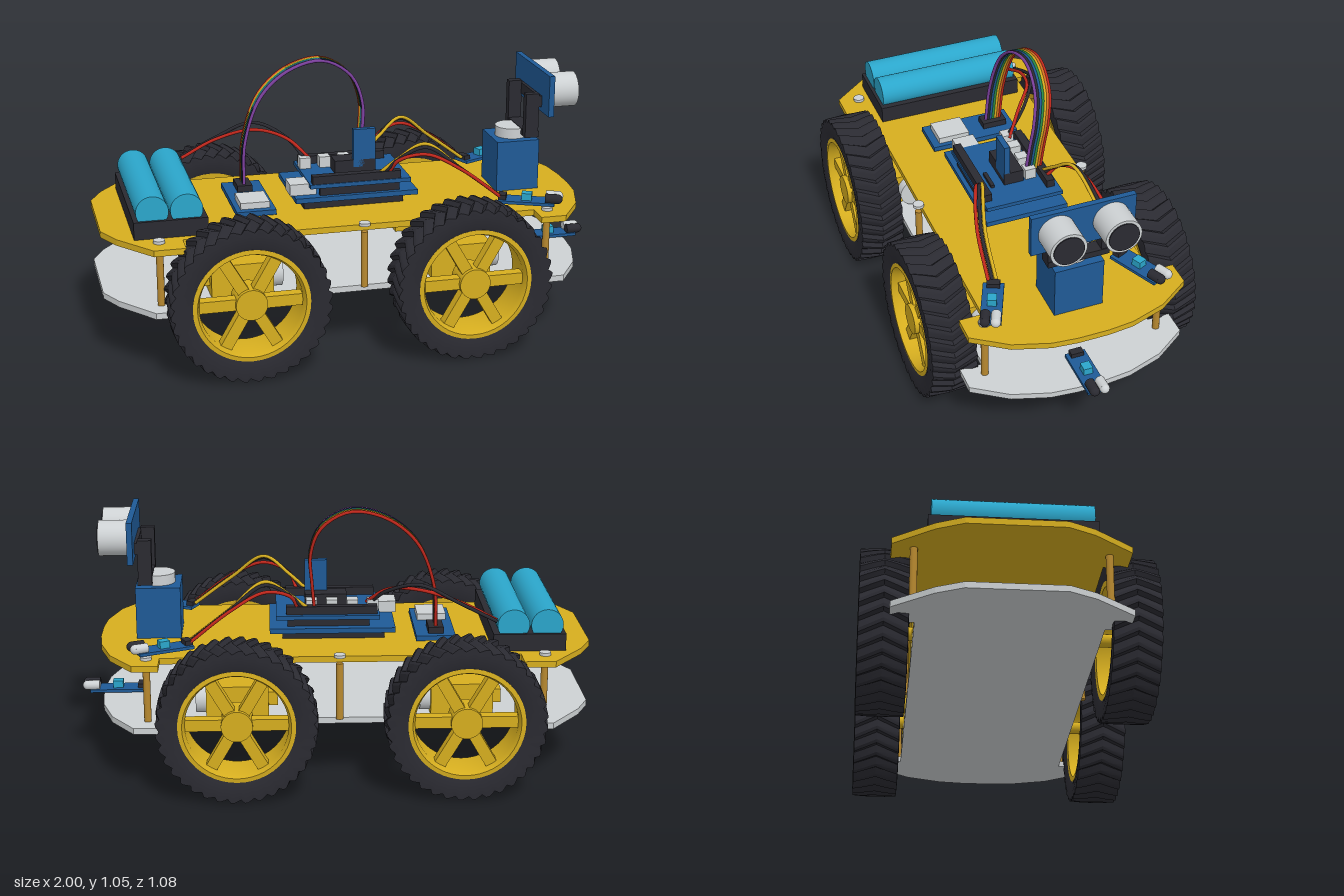
import * as THREE from 'three';
import { toCreasedNormals } from 'three/addons/utils/BufferGeometryUtils.js';

const mat = (name, color) => new THREE.MeshStandardMaterial({ name, color });
const M = {
  yellow: mat('yellow', 0xd6ae1f), grey: mat('lightGrey', 0xcdd1d3), dark: mat('darkRubber', 0x2a2a31),
  blue: mat('boardBlue', 0x1f5a96), cyan: mat('cyan', 0x2ba6cb), brass: mat('brass', 0xb8892f),
  red: mat('wireRed', 0xc0271c), green: mat('wireGreen', 0x2a8a45), purple: mat('wirePurple', 0x7a3f9c),
  orange: mat('wireOrange', 0xd9701f),
};

function add(parent, name, geo, material, x = 0, y = 0, z = 0) {
  const mesh = new THREE.Mesh(geo, material);
  mesh.name = name;
  mesh.position.set(x, y, z);
  parent.add(mesh);
  return mesh;
}

// box given by its limits on each axis
function box(parent, name, m, x0, x1, y0, y1, z0, z1) {
  return add(parent, name, new THREE.BoxGeometry(x1 - x0, y1 - y0, z1 - z0), m,
    (x0 + x1) / 2, (y0 + y1) / 2, (z0 + z1) / 2);
}

// cylinder along a chosen axis
function cyl(parent, name, m, r, len, axis, x, y, z, seg = 32) {
  const g = new THREE.CylinderGeometry(r, r, len, seg);
  if (axis === 'x') g.rotateZ(-Math.PI / 2);
  if (axis === 'z') g.rotateX(Math.PI / 2);
  return add(parent, name, g, m, x, y, z);
}

function wire(parent, name, m, pts, r = 0.007) {
  const curve = new THREE.CatmullRomCurve3(pts.map(p => new THREE.Vector3(...p)));
  return add(parent, name, new THREE.TubeGeometry(curve, 40, r, 8), m);
}

// chassis plate with wheel notches
function deckGeometry() {
  const half = [[-1, 0.18], [-0.95, 0.28], [-0.83, 0.43], [-0.71, 0.43], [-0.71, 0.34],
    [0.67, 0.34], [0.67, 0.43], [0.77, 0.43], [0.86, 0.3], [0.905, 0.16], [0.915, 0.06]];
  const pts = [...half, ...half.map(([x, z]) => [x, -z]).reverse()];
  const shape = new THREE.Shape(pts.map(p => new THREE.Vector2(...p)));
  return new THREE.ExtrudeGeometry(shape, { depth: 0.024, bevelEnabled: false }).rotateX(-Math.PI / 2);
}

const lathe = (pts, seg) => new THREE.LatheGeometry(pts.map(p => new THREE.Vector2(...p)), seg);

// tyre: saw-toothed tread columns twisted into chevrons
function tyreGeometry() {
  const pts = [[0.218, -0.08], [0.235, -0.086], [0.275, -0.09], [0.29, -0.088], [0.292, -0.045], [0.293, 0],
    [0.292, 0.045], [0.29, 0.088], [0.275, 0.09], [0.235, 0.086], [0.218, 0.08], [0.218, -0.08]];
  const g = lathe(pts, 144), p = g.attributes.position;
  const lift = [0, 0.007, 0.014, 0.015];
  for (let i = 0; i < p.count; i++) {
    const column = Math.floor(i / pts.length), [r0, y] = pts[i % pts.length];
    const a = column / 144 * Math.PI * 2 + Math.abs(y) * 1.5;
    const r = r0 > 0.28 ? r0 + lift[column % 4] : r0;
    p.setXYZ(i, r * Math.sin(a), y, r * Math.cos(a));
  }
  return toCreasedNormals(g.rotateX(Math.PI / 2), 0.45);
}

function makeWheel(tyre, x, side) {
  const wheel = new THREE.Group();
  wheel.name = 'wheel';
  wheel.position.set(x, 0.31, side * 0.45);
  add(wheel, 'tyre', tyre, M.dark);
  const rim = new THREE.Group();
  rim.name = 'rim';
  if (side < 0) rim.rotation.y = Math.PI;
  wheel.add(rim);
  const barrel = lathe([[0.2, -0.08], [0.222, -0.082], [0.222, 0.082], [0.205, 0.084], [0.195, 0.06], [0.2, -0.08]], 48);
  add(rim, 'rimBarrel', toCreasedNormals(barrel.rotateX(Math.PI / 2), 0.5), M.yellow);
  cyl(rim, 'hub', M.yellow, 0.06, 0.11, 'z', 0, 0, 0.02);
  cyl(rim, 'axle', M.yellow, 0.025, 0.14, 'z', 0, 0, -0.07, 16);
  for (let i = 0; i < 6; i++) {
    const spoke = new THREE.BoxGeometry(0.16, 0.045, 0.045).translate(0.12, 0, 0.035);
    add(rim, 'spoke', spoke.rotateZ(i * Math.PI / 3), M.yellow);
  }
  return wheel;
}

// small infrared sensor, pointing along its own +x
function makeSensor(x, y, z, turn) {
  const s = new THREE.Group();
  s.name = 'infraredSensor';
  s.position.set(x, y, z);
  s.rotation.y = turn;
  box(s, 'sensorBoard', M.blue, -0.11, 0.11, 0, 0.012, -0.04, 0.04);
  box(s, 'sensorTrimmer', M.cyan, -0.02, 0.02, 0.012, 0.04, -0.018, 0.018);
  box(s, 'sensorPins', M.dark, -0.11, -0.08, 0.012, 0.03, -0.025, 0.025);
  for (const [m, dz] of [[M.dark, 0.02], [M.grey, -0.02]]) {
    cyl(s, 'sensorEye', m, 0.019, 0.05, 'x', 0.098, 0.026, dz, 16);
    add(s, 'sensorEyeTip', new THREE.SphereGeometry(0.019, 16, 10), m, 0.122, 0.026, dz);
  }
  return s;
}

export function createModel() {
  const car = new THREE.Group();
  car.name = 'robotCar';

  // chassis plates
  const deck = deckGeometry();
  add(car, 'upperDeck', deck, M.yellow, 0, 0.498, 0);
  add(car, 'lowerDeck', deck, M.grey, 0, 0.249, 0);

  // wheels, gear motors and standoffs
  const tyre = tyreGeometry();
  for (const side of [-1, 1]) {
    for (const x of [-0.487, 0.377]) {
      car.add(makeWheel(tyre, x, side));
      const z = side * 0.265;
      box(car, 'gearbox', M.yellow, x - 0.12, x + 0.12, 0.275, 0.402, z - 0.075, z + 0.075);
      box(car, 'gearboxLug', M.yellow, x - 0.155, x - 0.12, 0.31, 0.365, z - 0.03, z + 0.03);
      cyl(car, 'motorCan', M.grey, 0.06, 0.04, 'x', x + 0.14, 0.338, z);
    }
    for (const x of [-0.8, -0.015, 0.72]) {
      cyl(car, 'standoff', M.brass, 0.014, 0.226, 'y', x, 0.385, side * 0.35, 12);
      cyl(car, 'screwHead', M.grey, 0.022, 0.012, 'y', x, 0.528, side * 0.35, 16);
    }
  }

  // battery pack
  box(car, 'batteryTray', M.dark, -0.887, -0.607, 0.522, 0.59, -0.305, 0.305);
  for (const x of [-0.815, -0.685]) cyl(car, 'battery', M.cyan, 0.062, 0.585, 'z', x, 0.622, 0);

  // motor driver board
  box(car, 'driverBoard', M.blue, -0.475, -0.32, 0.53, 0.55, -0.19, 0.175);
  box(car, 'driverHeatSink', M.grey, -0.455, -0.34, 0.55, 0.575, 0.015, 0.145);
  box(car, 'driverHeader', M.dark, -0.43, -0.37, 0.55, 0.575, -0.16, -0.06);

  // controller and stacked shield
  box(car, 'controllerBoard', M.blue, -0.24, 0.25, 0.56, 0.58, -0.175, 0.16);
  box(car, 'controllerRiser', M.dark, -0.2, 0.2, 0.522, 0.56, -0.12, 0.12);
  box(car, 'usbSocket', M.grey, -0.255, -0.15, 0.58, 0.625, 0.03, 0.12);
  box(car, 'shieldBoard', M.blue, -0.18, 0.225, 0.612, 0.628, -0.165, 0.15);
  for (const z of [-0.13, 0.13]) {
    box(car, 'stackHeader', M.dark, -0.14, 0.18, 0.58, 0.612, z - 0.012, z + 0.012);
    box(car, 'shieldHeader', M.dark, -0.17, 0.185, 0.628, 0.66, z - 0.016, z + 0.016);
  }
  for (let i = 0; i < 4; i++) {
    const x = -0.155 + i * 0.08;
    box(car, 'terminal', M.grey, x - 0.022, x + 0.022, 0.628, 0.672, -0.1, -0.055);
  }
  box(car, 'moduleSocket', M.dark, -0.055, 0.11, 0.628, 0.68, -0.045, 0.035);
  box(car, 'radioModule', M.blue, 0.02, 0.11, 0.65, 0.805, 0.012, 0.035);
  box(car, 'shieldChip', M.dark, 0.02, 0.11, 0.628, 0.64, 0.075, 0.09);

  // servo turret with bracket
  box(car, 'servoBody', M.blue, 0.597, 0.772, 0.522, 0.727, -0.095, 0.097);
  cyl(car, 'servoHorn', M.grey, 0.065, 0.042, 'y', 0.685, 0.747, 0);
  box(car, 'bracketBar', M.dark, 0.705, 0.76, 0.745, 0.77, -0.12, 0.12);
  for (const z of [-0.104, 0.104]) box(car, 'bracketArm', M.dark, 0.703, 0.757, 0.745, 0.925, z - 0.016, z + 0.016);
  box(car, 'bracketMount', M.dark, 0.755, 0.775, 0.87, 0.915, -0.12, 0.12);

  // ultrasonic range finder
  box(car, 'rangeBoard', M.blue, 0.768, 0.79, 0.85, 1.015, -0.2, 0.2);
  for (const z of [-0.104, 0.104]) {
    cyl(car, 'rangeCan', M.grey, 0.069, 0.112, 'x', 0.846, 0.934, z, 40);
    cyl(car, 'rangeMesh', M.dark, 0.058, 0.006, 'x', 0.903, 0.934, z, 40);
  }

  // infrared sensors: low front, and both front corners
  car.add(makeSensor(0.86, 0.277, 0, 0));
  car.add(makeSensor(0.655, 0.54, -0.295, 0.42));
  car.add(makeSensor(0.655, 0.54, 0.295, -0.42));

  // battery leads
  [[M.dark, 0.775, 0], [M.red, 0.75, 0.02]].forEach(([m, top, d]) => wire(car, 'batteryLead', m, [
    [-0.62, 0.64, -0.295 + d], [-0.48, 0.71, -0.29 + d], [-0.33, top, -0.255 + d],
    [-0.21, 0.73, -0.17 + d], [-0.15 + d, 0.66, -0.08]]));

  // sensor leads
  for (const s of [-1, 1]) {
    [[M.yellow, 0.775, 0], [M.dark, 0.765, 1], [M.red, 0.74, 2]].forEach(([m, top, i]) => wire(car, 'sensorLead', m, [
      [0.1 + i * 0.02, 0.65, s * 0.13], [0.17, 0.71, s * (0.15 + i * 0.01)], [0.27, top, s * (0.185 + i * 0.015)],
      [0.4, 0.68, s * (0.225 + i * 0.015)], [0.555, 0.562, s * (0.24 + i * 0.015)]]));
  }

  // arched ribbon cable
  [M.purple, M.dark, M.blue, M.green, M.yellow, M.orange, M.red].forEach((m, i) => {
    const z = -0.07 - i * 0.01;
    wire(car, 'ribbonWire', m, [[-0.4, 0.57, z - 0.01], [-0.39, 0.74, z - 0.025], [-0.32, 0.92, z - 0.042],
      [-0.2, 1.02, z - 0.052], [-0.06, 1.047, z - 0.055], [0.05, 0.98, z - 0.045], [0.09, 0.87, z - 0.025],
      [0.085, 0.76, z - 0.01], [0.075, 0.65, z]], 0.0065);
  });

  return car;
}
